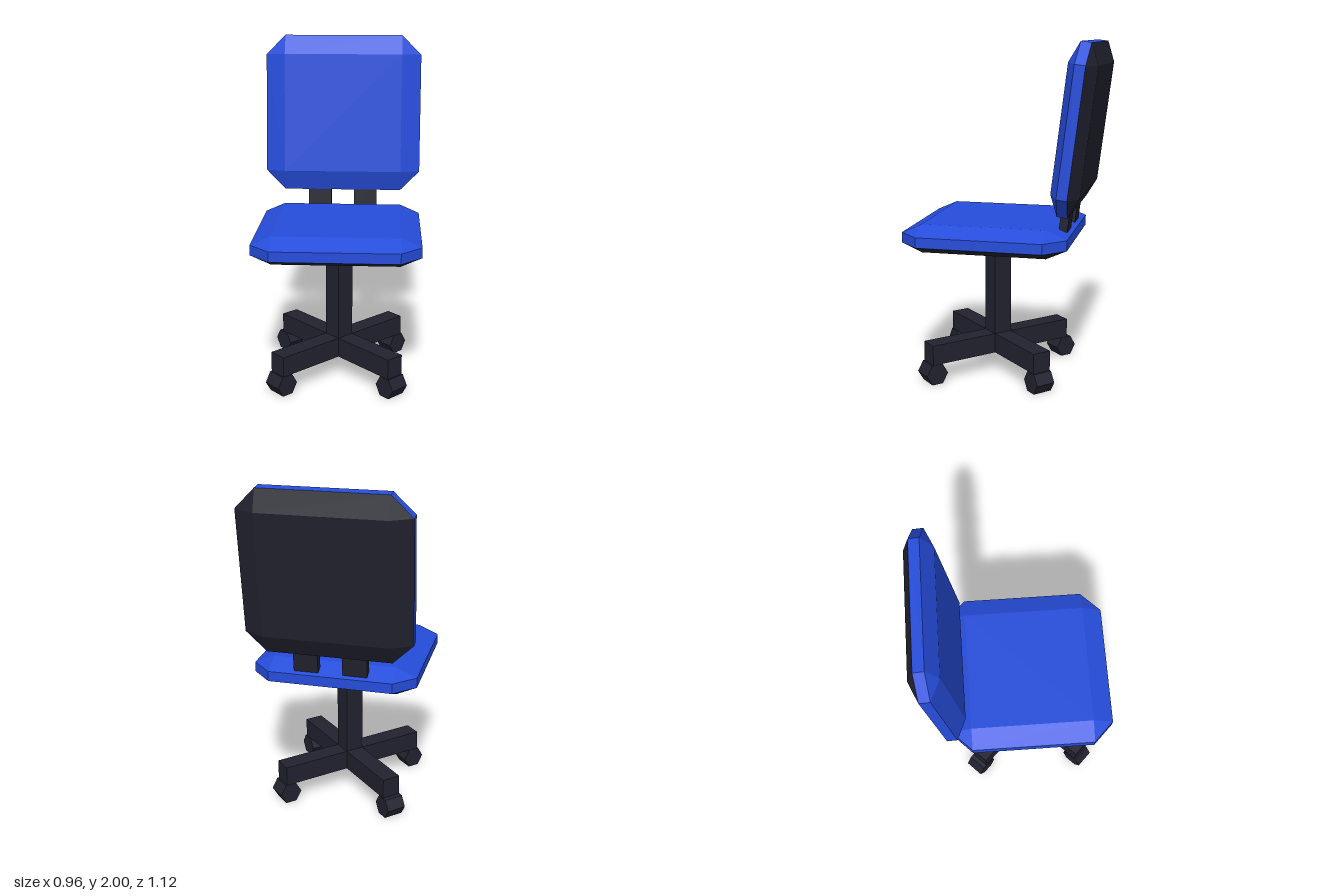
import * as THREE from 'three';

const blue = new THREE.MeshStandardMaterial({ color: 0x264ddb, name: 'blueFabric', flatShading: true });
const dark = new THREE.MeshStandardMaterial({ color: 0x222230, name: 'darkPlastic', flatShading: true });

const OUTER = 0.482, INNER = 0.363, HALF = 0.0825, BAND = 0.03, CENTRE_Z = 0.08;
const TILT = 0.124;

// Eight points counter-clockwise from above; inner ring collapses to a rectangle
function ring(outer, y) {
  return [[1, -1], [-1, -1], [-1, 1], [1, 1]].flatMap(([sx, sz], i) => {
    const a = new THREE.Vector3(sx * outer, y, sz * INNER);
    const b = new THREE.Vector3(sx * INNER, y, sz * outer);
    return i % 2 ? [b, a] : [a, b];
  });
}

// Skin stacked rings and close one end
function skin(rings, capTop) {
  const pos = [];
  const tri = (a, b, c) => {
    if (a.equals(b) || b.equals(c) || a.equals(c)) return;
    for (const p of [a, b, c]) pos.push(p.x, p.y, p.z);
  };
  for (let r = 0; r < rings.length - 1; r++) {
    for (let i = 0; i < 8; i++) {
      const j = (i + 1) % 8, lo = rings[r], hi = rings[r + 1];
      tri(lo[i], lo[j], hi[j]);
      tri(lo[i], hi[j], hi[i]);
    }
  }
  const cap = capTop ? rings[rings.length - 1] : rings[0];
  for (let i = 1; i < 7; i++) {
    if (capTop) tri(cap[0], cap[i], cap[i + 1]);
    else tri(cap[0], cap[i + 1], cap[i]);
  }
  const g = new THREE.BufferGeometry();
  g.setAttribute('position', new THREE.Float32BufferAttribute(pos, 3));
  g.computeVertexNormals();
  return g;
}

function mesh(name, geometry, material, x = 0, y = 0, z = 0) {
  const m = new THREE.Mesh(geometry, material);
  m.name = name;
  m.position.set(x, y, z);
  return m;
}

// Chamfered pad: upholstered face and rim over a dark shell
function pad(name) {
  const g = new THREE.Group();
  g.name = name;
  g.add(mesh(name + 'Cushion', skin([ring(OUTER, -BAND), ring(OUTER, BAND), ring(INNER, HALF)], true), blue));
  g.add(mesh(name + 'Shell', skin([ring(INNER, -HALF), ring(OUTER, -BAND)], false), dark));
  return g;
}

export function createModel() {
  const chair = new THREE.Group();
  chair.name = 'officeChair';

  const seat = pad('seat');
  seat.position.set(0, 0.8825, CENTRE_Z);
  chair.add(seat);

  const back = pad('backrest');
  back.position.set(0, 1.519, -0.4325);
  back.rotation.x = Math.PI / 2 - TILT;
  chair.add(back);

  // Two leaning struts join the seat and backrest
  for (const s of [-1, 1]) {
    const strut = mesh('backStrut', new THREE.BoxGeometry(0.143, 0.24, 0.05), dark, s * 0.143, 0.99, -0.361);
    strut.rotation.x = -TILT;
    chair.add(strut);
  }

  // Pedestal turned with the diagonal base
  const base = new THREE.Group();
  base.name = 'base';
  base.position.z = CENTRE_Z;
  chair.add(base);
  const column = mesh('column', new THREE.BoxGeometry(0.113, 0.68, 0.113), dark, 0, 0.47, 0);
  column.rotation.y = Math.PI / 4;
  base.add(column);

  // Four arms, each with a six-sided caster
  for (let i = 0; i < 4; i++) {
    const leg = new THREE.Group();
    leg.name = 'leg';
    leg.rotation.y = Math.PI / 4 + i * Math.PI / 2;
    leg.add(mesh('arm', new THREE.BoxGeometry(0.481, 0.12, 0.113), dark, 0.2405, 0.18, 0));
    const wheel = new THREE.CylinderGeometry(0.0693, 0.0693, 0.118, 6);
    wheel.rotateY(Math.PI / 6 + Math.PI / 3).rotateX(Math.PI / 2);
    leg.add(mesh('caster', wheel, dark, i === 1 ? 0.475 : 0.455, 0.06, 0));
    base.add(leg);
  }

  return chair;
}
